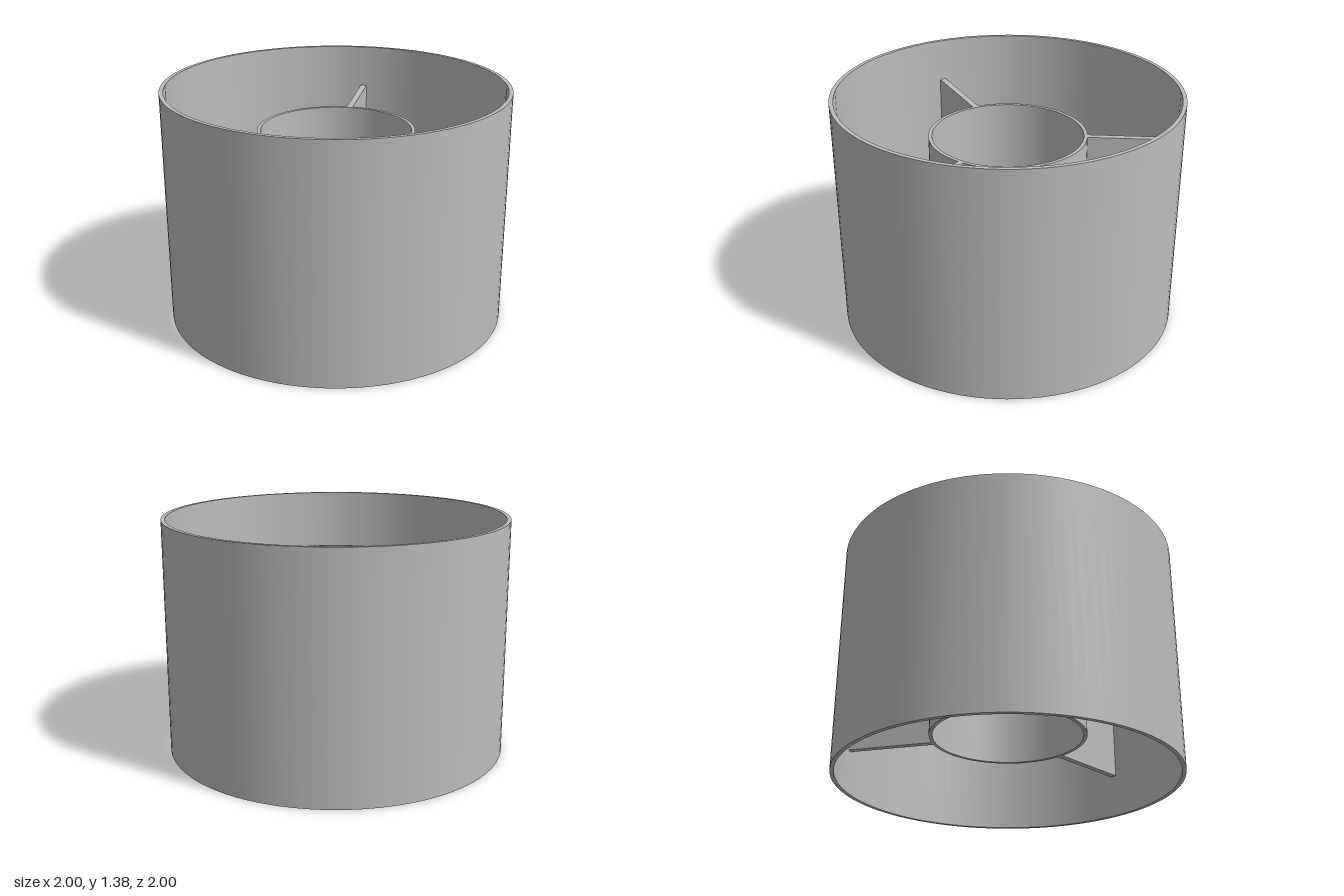
import * as THREE from 'three';
import { mergeGeometries } from 'three/addons/utils/BufferGeometryUtils.js';

const HEIGHT = 1.38;
const HUB_BOTTOM = 0.26;
const HUB_TOP = 1.12;

// Hollow tube: one lathe per profile edge, so rims stay sharp and walls smooth
function tubeGeometry(inner, outer, bottom, top) {
  const corners = [[inner, bottom], [outer, bottom], [outer, top], [inner, top]]
    .map(([r, y]) => new THREE.Vector2(r, y));
  return mergeGeometries(corners.map((p, i) =>
    new THREE.LatheGeometry([p, corners[(i + 1) % 4]], 96)));
}

export function createModel() {
  const model = new THREE.Group();
  const grey = new THREE.MeshStandardMaterial({ color: 0xbcbcbc });
  grey.name = 'grey';

  const add = (name, geometry) => {
    const mesh = new THREE.Mesh(geometry, grey);
    mesh.name = name;
    model.add(mesh);
    return mesh;
  };

  // Outer shell and the shorter hub held inside it
  add('outerShell', tubeGeometry(0.976, 1, 0, HEIGHT));
  add('innerHub', tubeGeometry(0.437, 0.458, HUB_BOTTOM, HUB_TOP));

  // Three radial fins joining hub and shell, ends sunk into both walls
  const start = 0.448, end = 0.984;
  const fin = new THREE.BoxGeometry(end - start, HUB_TOP - HUB_BOTTOM, 0.038);
  fin.translate((start + end) / 2, (HUB_TOP + HUB_BOTTOM) / 2, 0);
  for (let i = 0; i < 3; i++) {
    add('fin' + (i + 1), fin).rotation.y = (i * Math.PI * 2) / 3;
  }

  return model;
}
